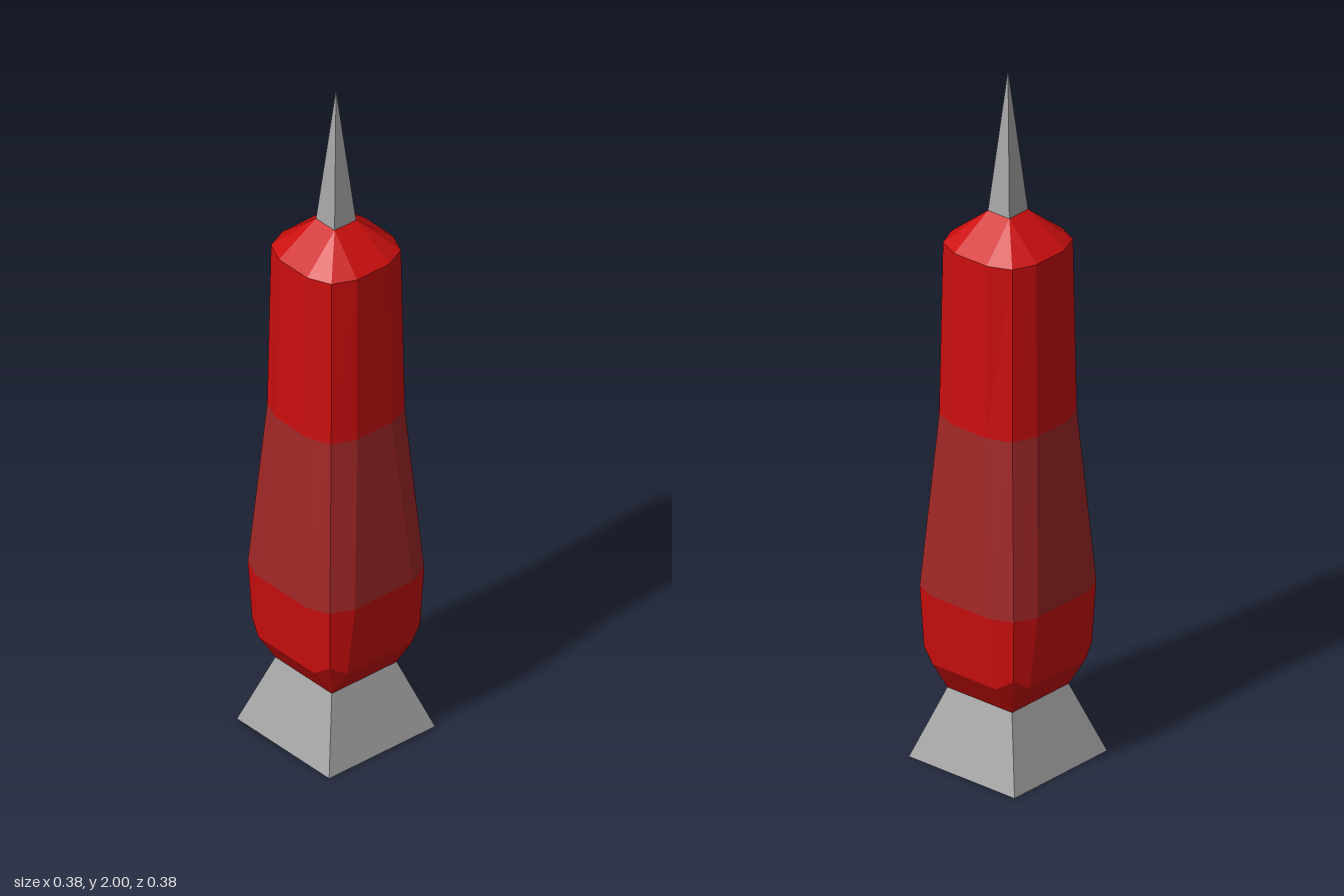
import * as THREE from 'three';

const material = (name, color) => {
  const m = new THREE.MeshStandardMaterial({ color, flatShading: true });
  m.name = name;
  return m;
};

// Twelve-point rounded square: flat-side half width, edge point, corner point (which may be raised)
function ring({ y, half, edge, corner, cornerY = y }) {
  const points = [];
  for (let side = 0; side < 4; side++) {
    const turn = side * Math.PI / 2;
    for (const [x, py, z] of [[-edge, y, half], [edge, y, half], [corner, cornerY, corner]]) {
      points.push(new THREE.Vector3(x, py, z).applyAxisAngle(new THREE.Vector3(0, 1, 0), turn));
    }
  }
  return points;
}

// Faceted skin over a stack of rings
function loft(sections) {
  const rings = sections.map(ring);
  const positions = [];
  const triangle = (a, b, c) => {
    const area = new THREE.Triangle(a, b, c).getArea();
    if (area > 1e-7) for (const p of [a, b, c]) positions.push(p.x, p.y, p.z);
  };
  for (let r = 0; r < rings.length - 1; r++) {
    const low = rings[r], high = rings[r + 1];
    for (let i = 0; i < low.length; i++) {
      const j = (i + 1) % low.length;
      triangle(low[i], low[j], high[j]);
      triangle(low[i], high[j], high[i]);
    }
  }
  const geometry = new THREE.BufferGeometry();
  geometry.setAttribute('position', new THREE.Float32BufferAttribute(positions, 3));
  geometry.computeVertexNormals();
  return geometry;
}

// Square tapered block from y0 to y1
function taper(bottomHalf, topHalf, y0, y1) {
  return new THREE.CylinderGeometry(topHalf * Math.SQRT2, bottomHalf * Math.SQRT2, y1 - y0, 4)
    .rotateY(Math.PI / 4)
    .translate(0, (y0 + y1) / 2, 0);
}

export function createModel() {
  const red = material('red', 0xcc0e0e);
  const darkRed = material('dull red', 0xa02727);
  const grey = material('grey', 0xa6a6a6);

  const group = new THREE.Group();
  const add = (name, geometry, mat) => {
    const mesh = new THREE.Mesh(geometry, mat);
    mesh.name = name;
    group.add(mesh);
  };

  // Body sections, bottom to top
  const foot = { y: 0.2, half: 0.112, edge: 0.112, corner: 0.112 };
  const hip = { y: 0.29, half: 0.172, edge: 0.11, corner: 0.155, cornerY: 0.32 };
  const widest = { y: 0.5, half: 0.19, edge: 0.1, corner: 0.163 };
  const waist = { y: 1.0, half: 0.153, edge: 0.06, corner: 0.127 };
  const shoulder = { y: 1.5, half: 0.148, edge: 0.056, corner: 0.12 };
  const neck = { y: 1.59, half: 0.037, edge: 0.037, corner: 0.037 };

  add('base', taper(0.183, 0.112, 0, 0.2), grey);
  add('lowerBody', loft([foot, hip, widest]), red);
  add('middleBand', loft([widest, waist]), darkRed);
  add('upperBody', loft([waist, shoulder, neck]), red);
  add('spire', taper(0.037, 0, 1.59, 2), grey);

  return group;
}
